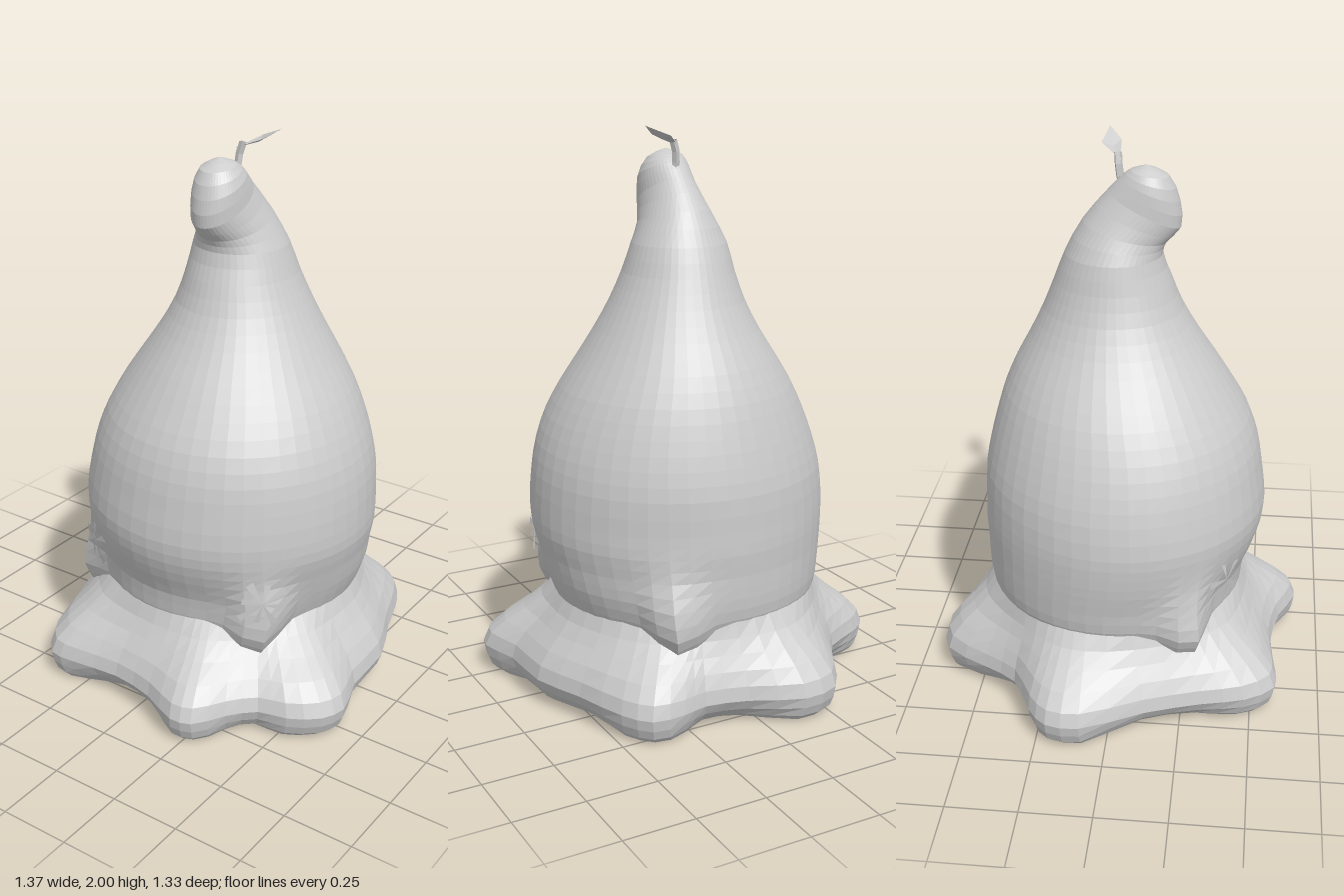
import * as THREE from 'three';

const grey = new THREE.MeshStandardMaterial({ color: 0xcccccc, flatShading: true, side: THREE.DoubleSide });
grey.name = 'plain grey';

const V = (x, y, z) => new THREE.Vector3(x, y, z);

// Skin closed rings from bottom to top; a ring of equal points closes an end
function loft(rings) {
  const n = rings[0].length, index = [];
  for (let j = 0; j < n; j++) {
    const k = (j + 1) % n;
    for (let i = 0; i < rings.length - 1; i++) {
      const r = i * n, s = r + n;
      index.push(r + j, s + j, r + k, r + k, s + j, s + k);
    }
  }
  const g = new THREE.BufferGeometry().setFromPoints(rings.flat());
  g.setIndex(index);
  const flat = g.toNonIndexed();
  flat.computeVertexNormals();
  return flat;
}

// Triangles given as a list of points
function sheet(points) {
  const g = new THREE.BufferGeometry().setFromPoints(points);
  g.computeVertexNormals();
  return g;
}

export function createModel() {
  const model = new THREE.Group();
  const add = (name, geometry) => {
    const mesh = new THREE.Mesh(geometry, grey);
    mesh.name = name;
    model.add(mesh);
    return mesh;
  };

  // Gourd body: y, centre x, radius x, centre z, radius z, forward tilt
  const profile = [
    [0.30, 0.01, 0.46, -0.02, 0.45, 0], [0.36, 0.01, 0.485, -0.025, 0.47, 0],
    [0.44, 0.018, 0.505, -0.025, 0.48, 0], [0.52, 0.02, 0.52, -0.01, 0.497, 0],
    [0.60, 0.025, 0.533, 0.00, 0.512, 0], [0.68, 0.025, 0.535, 0.005, 0.515, 0],
    [0.80, 0.03, 0.523, 0.00, 0.505, 0], [0.90, 0.035, 0.5, 0.00, 0.487, 0],
    [1.00, 0.038, 0.463, -0.005, 0.457, 0], [1.10, 0.04, 0.413, -0.018, 0.413, 0],
    [1.20, 0.042, 0.35, -0.028, 0.36, 0], [1.30, 0.045, 0.288, -0.035, 0.3, 0],
    [1.40, 0.045, 0.235, -0.04, 0.247, 0], [1.50, 0.04, 0.195, -0.04, 0.207, 0],
    [1.60, 0.035, 0.165, -0.038, 0.17, 0], [1.68, 0.033, 0.125, 0, 0.145, 0.25],
    [1.76, 0.03, 0.095, 0.068, 0.125, 0.5], [1.83, 0.03, 0.087, 0.088, 0.1, 0.4],
    [1.885, 0.025, 0.06, 0.085, 0.065, 0.15], [1.912, 0.025, 0, 0.075, 0, 0],
  ];
  // Soft corners low on the body: angle, height, push outward
  const corners = [[2.52, 0.36, 0.085], [0.81, 0.37, 0.095], [-1.05, 0.37, 0.08]];
  const sides = 48;
  const columns = Array.from({ length: sides }, (_, j) => {
    const a = (j / sides) * Math.PI * 2, c = Math.cos(a), s = Math.sin(a);
    const points = profile.map(([y, cx, rx, cz, rz, tilt]) => {
      let push = 0, drop = 0;
      for (const [angle, h, amount] of corners) {
        const d = Math.atan2(Math.sin(a - angle), Math.cos(a - angle));
        const near = Math.exp(-((d / 0.18) ** 2));
        push += amount * near * Math.exp(-(((y - h) / 0.13) ** 2));
        drop += 0.05 * near * Math.max(0, 1 - (y - 0.3) / 0.2);
      }
      return V(cx + c * (rx + push), y - s * rz * tilt - drop, cz + s * (rz + push));
    });
    return new THREE.CatmullRomCurve3(points).getPoints(38);
  });
  add('gourdBody', loft(columns[0].map((_, i) => columns.map((column) => column[i]))));

  // Spreading lobed foot: outline on the ground, x and z
  const outline = [
    [0.22, 0.66], [0.08, 0.60], [-0.09, 0.57], [-0.28, 0.59], [-0.38, 0.585], [-0.46, 0.48],
    [-0.50, 0.33], [-0.57, 0.13], [-0.68, -0.09], [-0.67, -0.21], [-0.59, -0.28], [-0.44, -0.355],
    [-0.36, -0.48], [-0.26, -0.635], [-0.12, -0.665], [0.06, -0.585], [0.21, -0.55], [0.30, -0.57],
    [0.42, -0.565], [0.49, -0.47], [0.555, -0.28], [0.63, -0.09], [0.64, 0.12], [0.685, 0.27],
    [0.65, 0.36], [0.55, 0.43], [0.45, 0.455], [0.37, 0.54], [0.30, 0.645],
  ];
  const curve = new THREE.CatmullRomCurve3(outline.map(([x, z]) => V(x, 0, z)), true);
  const edge = curve.getPoints(58).slice(0, -1);
  // Each ring: height, blend from inner circle to outline, scale, undercut between the lobes
  const footRings = [[0, 1, 0, 0], [0.005, 1, 0.94, 0.7], [0.025, 1, 0.97, 0.5], [0.06, 1, 0.99, 0.2],
    [0.1, 1, 1, 0], [0.15, 0.92, 1, 0], [0.2, 0.71, 1, 0], [0.25, 0.43, 1, 0], [0.3, 0.19, 1, 0],
    [0.36, 0, 1, 0]].map(([y, w, scale, cut]) => edge.map((p) => {
    const a = Math.atan2(p.z, p.x), s = scale * Math.min(1, p.length() / 0.68) ** cut;
    return V(0.01 + Math.cos(a) * 0.475, y, -0.025 + Math.sin(a) * 0.465).lerp(V(p.x * s, y, p.z * s), w);
  }));
  add('lobedFoot', loft(footRings));

  // Thin star-like tufts of blades
  for (const [x, y, z, nx, nz, blades] of [[-0.31, 0.51, 0.4, -0.5, 0.87, 5],
    [0.425, 0.49, 0.395, 0.75, 0.66, 8]]) {
    const tris = [];
    for (let i = 0; i < blades; i++) {
      const a = 0.5 + (i / blades) * Math.PI * 2, r = i % 2 ? 0.075 : 0.095;
      tris.push(V(0, 0, 0), V(Math.cos(a - 0.16) * r, Math.sin(a - 0.16) * r, -0.01),
        V(Math.cos(a + 0.16) * r, Math.sin(a + 0.16) * r, -0.01));
    }
    const tuft = add('tuft', sheet(tris));
    tuft.position.set(x, y, z);
    tuft.rotation.y = Math.atan2(nx, nz);
  }

  // Stem and leaf
  const stemPath = new THREE.CatmullRomCurve3([V(0.04, 1.83, -0.01), V(0.035, 1.89, -0.02), V(0.05, 1.945, -0.025)]);
  add('stem', new THREE.TubeGeometry(stemPath, 3, 0.014, 5));
  const base = V(0.025, 1.925, -0.012), tip = V(0.178, 2, -0.065), mid = V(0.1, 1.95, -0.045);
  const back = V(0.09, 1.965, -0.085), front = V(0.13, 1.967, -0.022);
  add('leaf', sheet([base, mid, back, back, mid, tip, base, front, mid, mid, front, tip]));

  return model;
}
